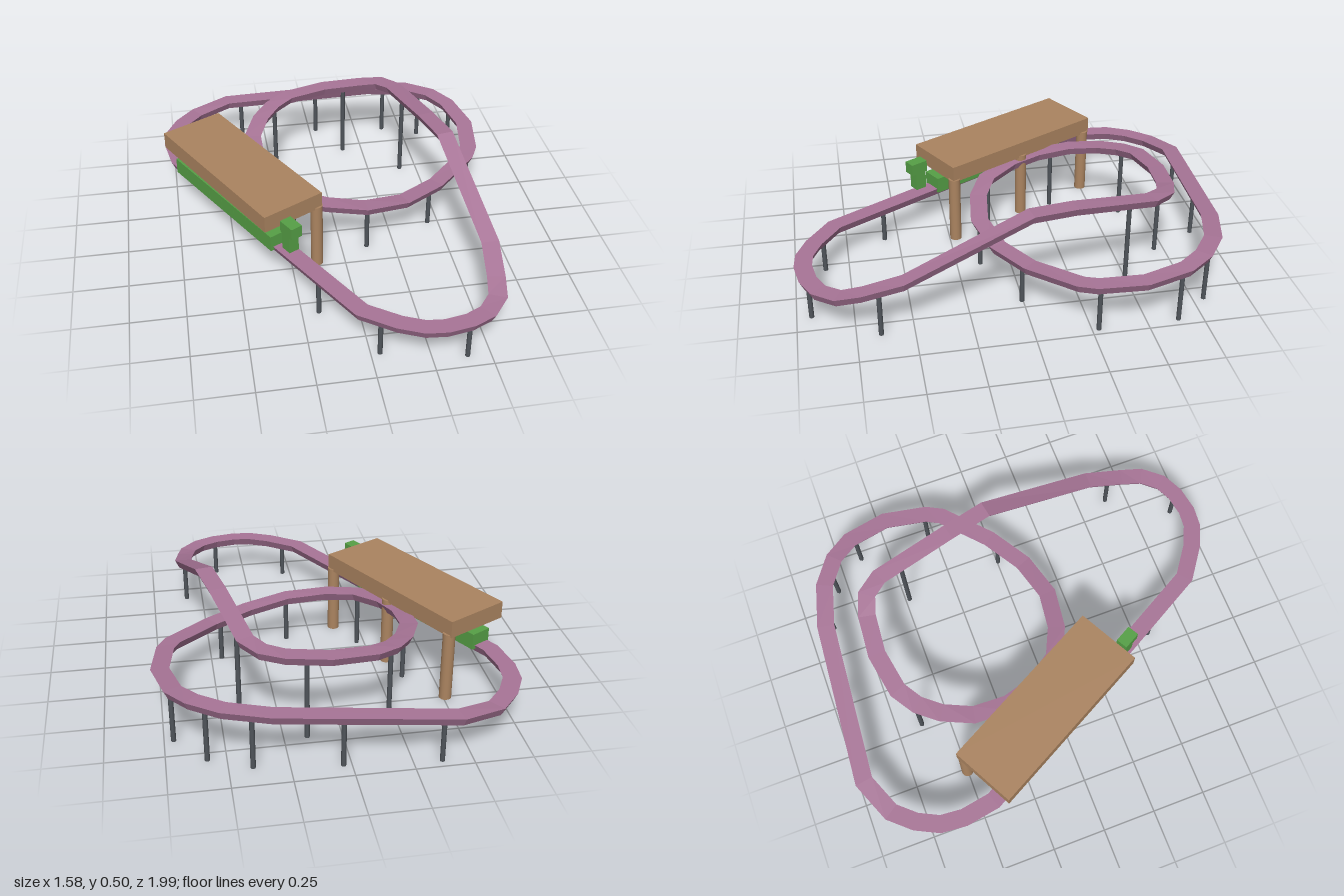
import * as THREE from 'three';

const mat = (name, color, flat = false) => {
  const m = new THREE.MeshStandardMaterial({ color, flatShading: flat });
  m.name = name;
  return m;
};

// Closed track centreline: x, top height, z
const PATH = [
  [-0.03, 0.2, 0.8], [0.11, 0.2, 0.9], [0.21, 0.2, 0.945], [0.295, 0.2, 0.953], [0.4, 0.2, 0.935],
  [0.485, 0.2, 0.895], [0.55, 0.205, 0.815], [0.57, 0.225, 0.715], [0.59, 0.275, 0.54],
  [0.515, 0.495, -0.02], [0.47, 0.485, -0.22], [0.39, 0.44, -0.59], [0.33, 0.43, -0.67],
  [0.235, 0.415, -0.7], [0.05, 0.4, -0.715], [-0.14, 0.385, -0.68], [-0.23, 0.37, -0.62],
  [-0.3, 0.355, -0.53], [-0.355, 0.335, -0.395], [-0.355, 0.315, -0.23], [-0.31, 0.3, -0.09],
  [-0.21, 0.28, 0.05], [-0.07, 0.262, 0.115], [0.115, 0.24, 0.14], [0.31, 0.22, 0.09],
  [0.49, 0.218, -0.02], [0.68, 0.235, -0.2], [0.715, 0.24, -0.27], [0.745, 0.255, -0.47],
  [0.7, 0.27, -0.66], [0.63, 0.28, -0.76], [0.51, 0.28, -0.845], [0.315, 0.27, -0.9],
  [-0.44, 0.22, -0.96], [-0.61, 0.2, -0.89], [-0.69, 0.2, -0.8], [-0.74, 0.2, -0.7],
  [-0.75, 0.2, -0.59], [-0.725, 0.2, -0.44],
].map((p) => new THREE.Vector3(...p));

// Sweep a tapered section along the path with mitred corners
function trackGeometry() {
  const section = [[-0.04, 0], [0.04, 0], [0.022, -0.04], [-0.022, -0.04]];
  const n = PATH.length;
  const rings = PATH.map((p, i) => {
    const flat = (a, b) => new THREE.Vector3(b.x - a.x, 0, b.z - a.z).normalize();
    const before = flat(PATH[(i + n - 1) % n], p);
    const after = flat(p, PATH[(i + 1) % n]);
    const t = before.clone().add(after).normalize();
    const side = new THREE.Vector3(-t.z, 0, t.x).divideScalar(t.dot(after));
    return section.map(([s, h]) => p.clone().addScaledVector(side, s).add(new THREE.Vector3(0, h, 0)));
  });
  const pos = [];
  for (let i = 0; i < n; i++) {
    const A = rings[i], B = rings[(i + 1) % n];
    for (let j = 0; j < 4; j++) {
      const k = (j + 1) % 4;
      for (const v of [A[j], A[k], B[k], A[j], B[k], B[j]]) pos.push(v.x, v.y, v.z);
    }
  }
  const g = new THREE.BufferGeometry();
  g.setAttribute('position', new THREE.Float32BufferAttribute(pos, 3));
  g.computeVertexNormals();
  return g;
}

// Track height at the nearest point of the centreline
function trackHeight(x, z) {
  let best = Infinity, y = 0;
  PATH.forEach((a, i) => {
    const b = PATH[(i + 1) % PATH.length];
    for (let k = 0; k < 20; k++) {
      const q = a.clone().lerp(b, k / 20);
      const d = Math.hypot(q.x - x, q.z - z);
      if (d < best) { best = d; y = q.y; }
    }
  });
  return y;
}

export function createModel() {
  const model = new THREE.Group();
  model.name = 'rollerCoaster';
  const mauve = mat('mauve track', 0xa87597, true);
  const brown = mat('brown station', 0xab8460);
  const green = mat('green train', 0x56a046);
  const steel = mat('dark steel', 0x50555b);

  const add = (parent, name, geometry, material, x, y, z) => {
    const m = new THREE.Mesh(geometry, material);
    m.name = name;
    m.position.set(x, y, z);
    parent.add(m);
    return m;
  };

  add(model, 'track', trackGeometry(), mauve, 0, 0, 0);

  // Thin posts under the track
  const posts = [
    [0.4, 0.935], [0.04, 0.86], [0.58, 0.645], [-0.175, 0.565], [0.12, 0.14], [-0.215, 0.045],
    [0.45, 0.005], [0.715, -0.28], [-0.36, -0.3], [0.415, -0.48], [0.71, -0.64], [-0.22, -0.63],
    [0.15, -0.705], [0.58, -0.8], [0.4, -0.88], [0.035, -0.925], [-0.37, -0.96],
  ];
  for (const [x, z] of posts) {
    const h = trackHeight(x, z) - 0.025;
    add(model, 'trackPost', new THREE.CylinderGeometry(0.011, 0.011, h, 8), steel, x, h / 2, z);
  }

  // Station roof with a row of pillars along one side
  const roof = add(model, 'stationRoof', new THREE.BoxGeometry(0.31, 0.08, 0.86), brown, -0.445, 0.36, -0.08);
  roof.rotation.y = Math.atan2(0.47, 0.883);
  for (let i = -1; i <= 1; i++) {
    add(model, 'stationPillar', new THREE.CylinderGeometry(0.028, 0.028, 0.33, 16), brown,
      -0.32 + 0.19 * i, 0.165, -0.14 + 0.36 * i);
  }

  // Train: eight cars and a raised figure at the front
  const train = new THREE.Group();
  train.name = 'train';
  train.position.set(-0.502, 0, -0.042);
  train.rotation.y = Math.atan2(0.482, 0.876);
  model.add(train);
  for (let i = 0; i < 8; i++) {
    add(train, 'car', new THREE.BoxGeometry(0.1, 0.077, 0.098), green, 0, 0.22, -0.35 + i * 0.1);
  }
  add(train, 'frontNeck', new THREE.BoxGeometry(0.05, 0.09, 0.055), green, 0, 0.27, 0.48);
  add(train, 'frontHead', new THREE.BoxGeometry(0.056, 0.056, 0.085), green, 0, 0.34, 0.488);
  return model;
}
